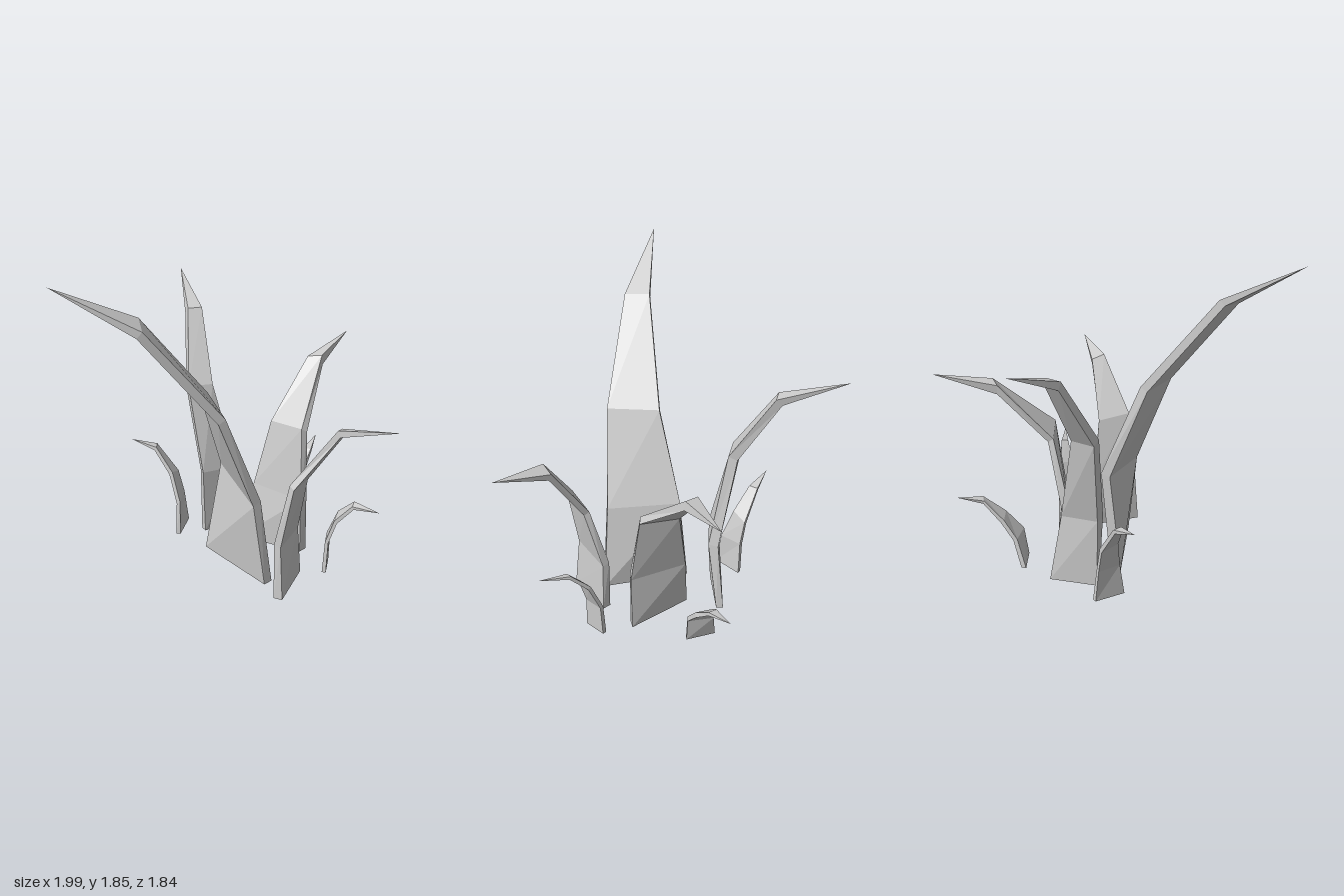
import * as THREE from 'three';

// Each blade: levels of [inner edge start, inner edge end, thickness offset], then a tip point.
const BLADES = {
  tallLeftBlade: {
    levels: [
      [[-0.03, 0, -0.11], [0.065, 0, 0.39], [-0.055, 0, 0.01]],
      [[0.045, 0.60, -0.06], [0.0, 0.54, 0.36], [-0.05, -0.02, 0.005]],
      [[-0.15, 1.11, 0.05], [-0.215, 1.09, 0.345], [-0.04, -0.025, -0.005]],
      [[-0.56, 1.63, 0.09], [-0.61, 1.61, 0.23], [-0.03, -0.03, -0.005]],
    ],
    tip: [-1, 1.85, 0.05],
  },
  tallBackBlade: {
    levels: [
      [[0.0, 0, -0.25], [0.28, 0, -0.265], [0, 0, -0.04]],
      [[-0.02, 0.43, -0.235], [0.2, 0.42, -0.215], [0.015, -0.01, -0.055]],
      [[-0.04, 0.957, -0.36], [0.1, 0.955, -0.32], [0.012, -0.02, -0.05]],
      [[0.085, 1.35, -0.575], [0.165, 1.35, -0.55], [0, -0.035, -0.035]],
    ],
    tip: [0.23, 1.48, -0.92],
  },
  rightBlade: {
    levels: [
      [[0.155, 0, -0.085], [0.37, 0, 0.24], [0.05, 0, -0.01]],
      [[0.24, 0.36, -0.075], [0.365, 0.36, 0.235], [0.045, -0.01, -0.005]],
      [[0.335, 0.77, -0.045], [0.4, 0.79, 0.17], [0.035, -0.025, 0.005]],
      [[0.635, 1.09, -0.115], [0.69, 1.105, -0.05], [0.005, -0.055, 0.005]],
    ],
    tip: [0.99, 1.15, -0.2],
  },
  frontBlade: {
    levels: [
      [[-0.015, 0, 0.53], [0.23, 0, 0.36], [0.03, 0, 0.04]],
      [[0.0, 0.34, 0.5], [0.22, 0.32, 0.355], [0.018, -0.015, 0.035]],
      [[0.055, 0.72, 0.55], [0.22, 0.69, 0.45], [0.005, -0.02, 0.03]],
      [[0.255, 1.045, 0.675], [0.32, 1.02, 0.63], [0.005, -0.035, 0.015]],
    ],
    tip: [0.465, 1.08, 0.915],
  },
  smallRightBlade: {
    levels: [
      [[0.455, 0, -0.24], [0.5, 0, -0.075], [0.03, 0, 0]],
      [[0.51, 0.18, -0.225], [0.525, 0.175, -0.08], [0.025, -0.012, 0]],
      [[0.59, 0.29, -0.22], [0.62, 0.295, -0.115], [0.02, -0.02, 0]],
      [[0.71, 0.4, -0.22], [0.735, 0.405, -0.175], [0.005, -0.02, 0]],
    ],
    tip: [0.85, 0.43, -0.28],
  },
  smallBackBlade: {
    levels: [
      [[-0.15, 0, -0.3], [-0.02, 0, -0.425], [-0.02, 0, -0.015]],
      [[-0.135, 0.21, -0.325], [-0.045, 0.21, -0.43], [-0.015, -0.01, -0.015]],
      [[-0.145, 0.39, -0.395], [-0.07, 0.355, -0.455], [-0.015, -0.015, -0.012]],
      [[-0.2, 0.535, -0.49], [-0.17, 0.535, -0.535], [-0.01, -0.02, -0.005]],
    ],
    tip: [-0.305, 0.57, -0.605],
  },
  smallFrontBlade: {
    levels: [
      [[0.36, 0, 0.475], [0.45, 0, 0.38], [0.015, 0, 0.018]],
      [[0.375, 0.2, 0.47], [0.45, 0.2, 0.39], [0.012, -0.005, 0.015]],
      [[0.41, 0.35, 0.5], [0.475, 0.37, 0.45], [0.01, -0.015, 0.012]],
      [[0.47, 0.465, 0.575], [0.505, 0.475, 0.55], [0.005, -0.018, 0.008]],
    ],
    tip: [0.54, 0.48, 0.725],
  },
};

const vec = (a) => new THREE.Vector3(...a);

// Four-sided tapering strip through the levels, closed at the base and pointed at the tip
function bladeGeometry({ levels, tip }) {
  const rings = levels.map(([start, end, offset]) => {
    let p = vec(start), q = vec(end);
    const t = vec(offset);
    // keep every ring anticlockwise seen from above
    if (q.clone().sub(p).cross(t).y < 0) [p, q] = [q, p];
    return [p, q, q.clone().add(t), p.clone().add(t)];
  });
  const points = [];
  const tri = (a, b, c) => points.push(a, b, c);
  const base = rings[0], last = rings[rings.length - 1], top = vec(tip);

  tri(base[0], base[2], base[1]);
  tri(base[0], base[3], base[2]);
  for (let i = 0; i < 4; i++) {
    const j = (i + 1) % 4;
    for (let r = 0; r < rings.length - 1; r++) {
      const lo = rings[r], hi = rings[r + 1];
      tri(lo[i], lo[j], hi[j]);
      tri(lo[i], hi[j], hi[i]);
    }
    tri(last[i], last[j], top);
  }
  const geometry = new THREE.BufferGeometry().setFromPoints(points);
  geometry.computeVertexNormals();
  return geometry;
}

export function createModel() {
  const group = new THREE.Group();
  group.name = 'grassClump';
  const material = new THREE.MeshStandardMaterial({ color: 0xcccccc, flatShading: true });
  for (const [name, blade] of Object.entries(BLADES)) {
    const mesh = new THREE.Mesh(bladeGeometry(blade), material);
    mesh.name = name;
    group.add(mesh);
  }
  return group;
}
